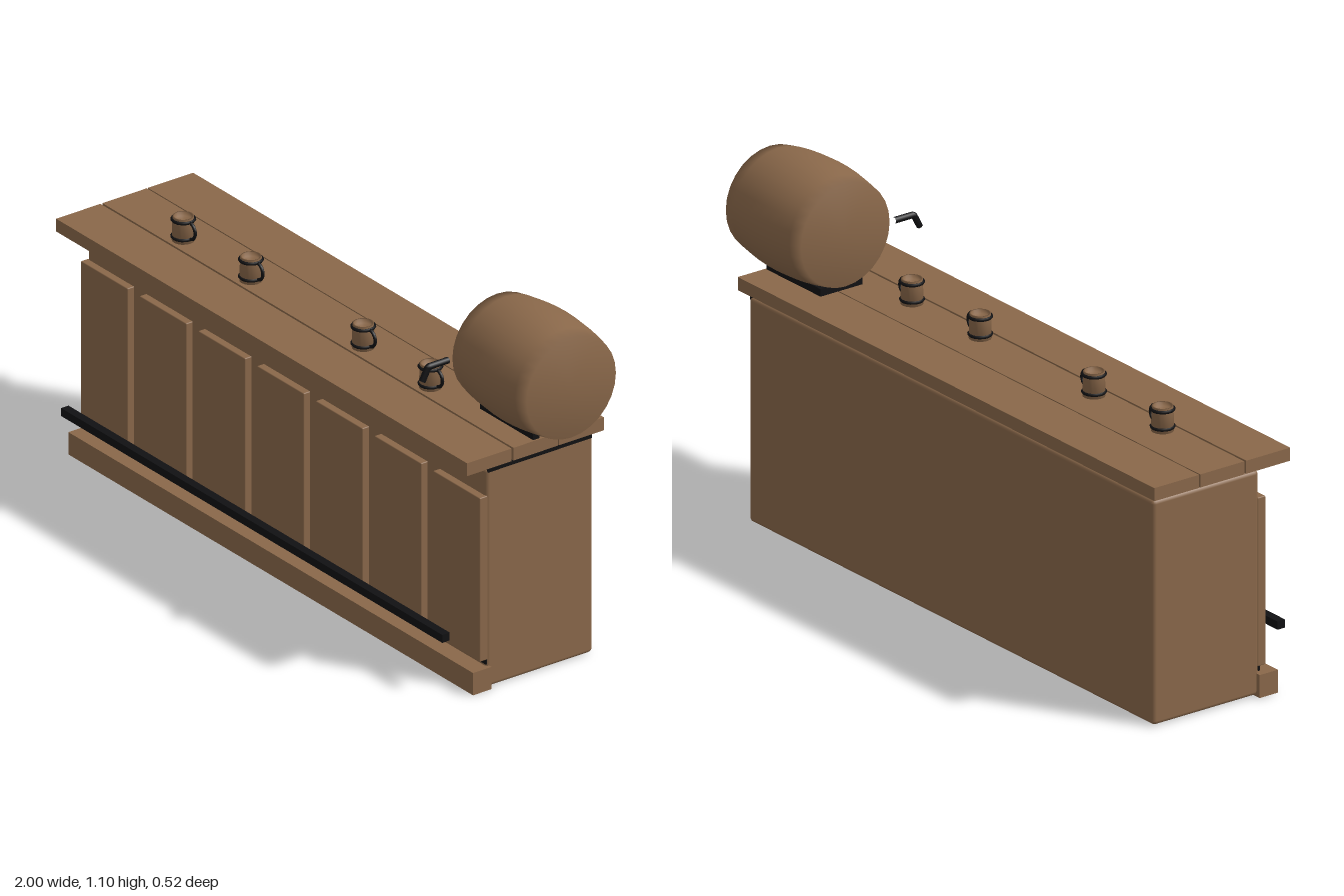
import * as THREE from 'three';
import { RoundedBoxGeometry } from 'three/addons/geometries/RoundedBoxGeometry.js';

export function createModel() {
  const model = new THREE.Group();
  model.name = 'barCounter';
  const wood = new THREE.MeshStandardMaterial({ color: 0x8a684a });
  wood.name = 'brown wood';
  const iron = new THREE.MeshStandardMaterial({ color: 0x111113 });
  iron.name = 'black iron';

  const add = (name, geometry, material, parent = model) => {
    const mesh = new THREE.Mesh(geometry, material);
    mesh.name = name;
    parent.add(mesh);
    return mesh;
  };
  // Box given by its limits along each axis
  const box = (name, x0, x1, y0, y1, z0, z1, material, round = 0) => {
    const size = [x1 - x0, y1 - y0, z1 - z0];
    const geometry = round ? new RoundedBoxGeometry(...size, 2, round) : new THREE.BoxGeometry(...size);
    geometry.translate((x0 + x1) / 2, (y0 + y1) / 2, (z0 + z1) / 2);
    return add(name, geometry, material);
  };

  // Cabinet with a dark top under the planks
  box('cabinet', -0.97, 0.9, 0.003, 0.689, -0.235, 0.14, wood, 0.012);
  box('cabinetTop', -0.96, 0.89, 0.686, 0.691, -0.226, 0.131, iron);
  box('endTrim', 0.889, 0.9005, 0.678, 0.689, -0.23, 0.135, iron);
  box('baseboard', -0.985, 0.91, 0, 0.07, 0.13, 0.195, wood);

  // Front panels with a dark line below each one
  for (let i = 0; i < 7; i++) {
    const x = -0.97 + i * 0.275;
    box('panel', x, x + 0.219, 0.09, 0.605, 0.135, 0.163, wood, 0.003);
    box('panelShadowGap', x, x + 0.219, 0.076, 0.09, 0.137, 0.142, iron);
  }

  // Foot rail
  box('footRail', -0.93, 0.855, 0.163, 0.188, 0.236, 0.262, iron);

  // Counter planks
  for (const [z0, z1] of [[0.071, 0.227], [-0.092, 0.064], [-0.255, -0.096]]) {
    box('counterPlank', -1, 0.925, 0.705, 0.745, z0, z1, wood);
  }

  // Barrel lying along x
  const profile = [new THREE.Vector2(0, -0.174)];
  for (let i = 0; i <= 8; i++) {
    const t = i / 4 - 1;
    profile.push(new THREE.Vector2(0.177 - 0.02 * t * t, 0.174 * t));
  }
  profile.push(new THREE.Vector2(0, 0.174));
  const barrel = add('barrel', new THREE.LatheGeometry(profile, 28), wood);
  barrel.rotation.z = -Math.PI / 2;
  barrel.position.set(0.826, 0.92, -0.083);

  // Cradle below the barrel
  for (const z of [-0.02, -0.146]) {
    box('cradleBar', 0.67, 0.92, 0.745, 0.768, z - 0.011, z + 0.011, iron);
  }
  box('cradleEnd', 0.67, 0.69, 0.745, 0.764, -0.14, -0.02, iron);

  // Bent spout
  const spout = new THREE.CurvePath();
  const bend = [[0.09, 0.92], [0.16, 0.92], [0.181, 0.88]].map(([z, y]) => new THREE.Vector3(0.653, y, z));
  spout.add(new THREE.LineCurve3(bend[0], bend[1]));
  spout.add(new THREE.LineCurve3(bend[1], bend[2]));
  add('spout', new THREE.TubeGeometry(spout, 24, 0.01, 8), iron);

  // Mugs with hoops and handles
  const mugBody = new THREE.LatheGeometry(
    [[0, 0], [0.033, 0], [0.031, 0.075], [0.026, 0.075], [0.026, 0.062], [0, 0.062]]
      .map(([r, y]) => new THREE.Vector2(r, y)), 16);
  const hoop = new THREE.TorusGeometry(0.032, 0.005, 6, 16).rotateX(Math.PI / 2);
  const handleGrip = new THREE.TorusGeometry(0.026, 0.005, 6, 12, Math.PI).rotateZ(-Math.PI / 2);
  for (const x of [-0.68, -0.363, 0.163, 0.478]) {
    const mug = new THREE.Group();
    mug.name = 'mug';
    mug.position.set(x, 0.745, 0.02);
    add('mugBody', mugBody, wood, mug);
    add('lowerHoop', hoop, iron, mug).position.y = 0.013;
    add('upperHoop', hoop, iron, mug).position.y = 0.066;
    add('mugHandle', handleGrip, iron, mug).position.set(0.03, 0.04, 0);
    model.add(mug);
  }
  return model;
}
